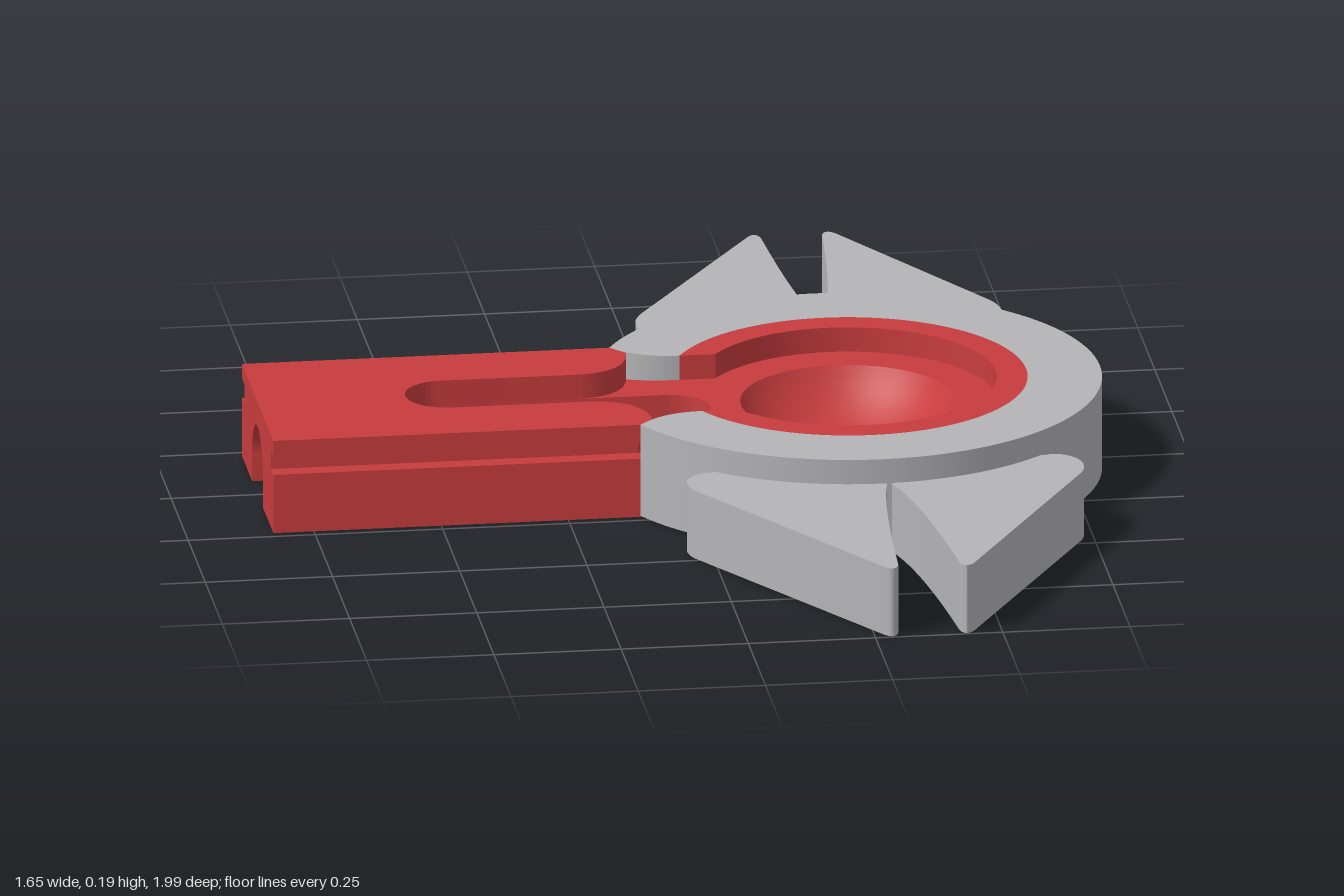
import * as THREE from 'three';
import { toCreasedNormals } from 'three/addons/utils/BufferGeometryUtils.js';

const CX = 0.33;          // hub centre on x
const HUB = 0.35, RING = 0.495, RECESS = 0.29, BOWL = 0.21, HOLE = 0.06;
const SLOT = 0.08;        // half width of slot and channel
const NECK = 0.165;       // half width of neck
const ARM_END = -0.83, ARM_JOIN = -0.108;
const FLOOR = 0.14, TOP = 0.19;

const hubAngle = Math.PI - Math.asin(NECK / HUB);
const recessAngle = Math.PI - Math.asin(NECK / RECESS);
const ringAngle = Math.PI - Math.asin(0.23 / RING);

// Upright prism from a plan outline drawn as (x, -z)
function prism(shape, y0, y1) {
  const geo = new THREE.ExtrudeGeometry(shape, { depth: y1 - y0, bevelEnabled: false, curveSegments: 48 });
  geo.rotateX(-Math.PI / 2).translate(0, y0, 0);
  return toCreasedNormals(geo, 0.5);
}

// Lower body: arm, neck and hub, open along the channel
function lowerOutline(w) {
  const s = new THREE.Shape();
  s.moveTo(ARM_END, -w);
  s.lineTo(ARM_JOIN, -w);
  s.quadraticCurveTo(-0.06, -NECK, 0.02, -NECK);
  s.absarc(CX, 0, HUB, -hubAngle, hubAngle, false);
  s.quadraticCurveTo(-0.06, NECK, ARM_JOIN, w);
  s.lineTo(ARM_END, w);
  s.lineTo(ARM_END, SLOT);
  s.lineTo(-0.02, SLOT);
  s.absarc(-0.02, 0, SLOT, Math.PI / 2, -Math.PI / 2, true);
  s.lineTo(ARM_END, -SLOT);
  s.holes.push(new THREE.Path().absarc(CX, 0, BOWL, 0, Math.PI * 2, true));
  return s;
}

// Raised arm top: two rounded prongs either side of the slot
function upperOutline(w) {
  const s = new THREE.Shape();
  s.moveTo(ARM_END, -w);
  s.lineTo(ARM_JOIN, -w);
  s.lineTo(-0.08, -0.195);
  s.quadraticCurveTo(-0.09, -SLOT, -0.2, -SLOT);
  s.lineTo(-0.46, -SLOT);
  s.absarc(-0.46, 0, SLOT, -Math.PI / 2, -Math.PI * 1.5, true);
  s.lineTo(-0.2, SLOT);
  s.quadraticCurveTo(-0.09, SLOT, -0.08, 0.195);
  s.lineTo(ARM_JOIN, w);
  s.lineTo(ARM_END, w);
  return s;
}

// Rim around the recess, open towards the arm
function rimOutline() {
  const s = new THREE.Shape();
  s.absarc(CX, 0, HUB, -hubAngle, hubAngle, false);
  s.absarc(CX, 0, RECESS, recessAngle, -recessAngle, true);
  return s;
}

// Outer ring with curved ends that meet the arm
function ringOutline() {
  const s = new THREE.Shape();
  s.absarc(CX, 0, RING, -ringAngle, ringAngle, false);
  s.quadraticCurveTo(-0.06, NECK, 0.02, NECK);
  s.absarc(CX, 0, HUB, hubAngle, -hubAngle, true);
  s.quadraticCurveTo(-0.06, -NECK, ARM_JOIN, -0.23);
  return s;
}

// One pointed blade; dir is +1 towards the back and -1 towards the front
function bladeOutline(b, dir) {
  const s = new THREE.Shape();
  const p = (x, y) => [x, y * dir];
  s.moveTo(...p(b.gap, 0.44));
  s.lineTo(...p(b.gap, 0.5));
  s.quadraticCurveTo(...p(b.gap + 0.6 * (b.inner - b.gap), 0.62), ...p(b.inner, 0.975));
  s.quadraticCurveTo(...p(b.tip, 1.01), ...p(b.outerTip, 0.985));
  s.lineTo(...p(...b.shoulder));
  s.bezierCurveTo(...p(...b.bulge1), ...p(...b.bulge2), ...p(...b.root));
  s.lineTo(...p(CX + (b.root[0] - CX) * 0.85, 0.32));
  return s;
}

export function createModel() {
  const red = new THREE.MeshStandardMaterial({ name: 'red', color: 0xc83c3e });
  const grey = new THREE.MeshStandardMaterial({ name: 'grey', color: 0xb4b3b6 });
  const model = new THREE.Group();
  model.name = 'bladedRingHandle';
  const add = (name, geo, mat) => {
    const mesh = new THREE.Mesh(geo, mat);
    mesh.name = name;
    model.add(mesh);
    return mesh;
  };

  // Handle in layers; the narrow layers form the side grooves
  add('handleBase', prism(lowerOutline(0.23), 0, 0.12), red);
  add('grooveLower', prism(lowerOutline(0.195), 0.12, FLOOR), red);
  add('grooveUpper', prism(upperOutline(0.195), FLOOR, 0.16), red);
  add('handleTop', prism(upperOutline(0.23), 0.16, TOP), red);

  // Arched roof of the channel beyond the slot
  const arch = new THREE.Shape();
  arch.moveTo(-SLOT, 0.06);
  arch.absarc(0, 0.06, SLOT, Math.PI, 0, true);
  arch.lineTo(SLOT, FLOOR);
  arch.lineTo(-SLOT, FLOOR);
  const archGeo = new THREE.ExtrudeGeometry(arch, { depth: 0.29, bevelEnabled: false, curveSegments: 24 });
  archGeo.rotateY(Math.PI / 2).translate(ARM_END, 0, 0);
  add('channelArch', toCreasedNormals(archGeo, 0.5), red);

  // Bowl with a drain hole
  const profile = [[HOLE, 0], [BOWL, 0], [BOWL, FLOOR]].map(([r, y]) => new THREE.Vector2(r, y));
  const R = 0.24, cy = FLOOR + Math.sqrt(R * R - BOWL * BOWL);
  const a0 = Math.asin(BOWL / R), a1 = Math.asin(HOLE / R);
  for (let i = 1; i <= 16; i++) {
    const a = a0 + (a1 - a0) * i / 16;
    profile.push(new THREE.Vector2(R * Math.sin(a), cy - R * Math.cos(a)));
  }
  profile.push(new THREE.Vector2(HOLE, 0));
  const bowl = toCreasedNormals(new THREE.LatheGeometry(profile, 64), 0.5);
  add('bowl', bowl, red).position.x = CX;

  add('hubRim', prism(rimOutline(), FLOOR, TOP), red);
  add('outerRing', prism(ringOutline(), 0.002, TOP), grey);

  // Four blades
  const blades = [
    ['backRightBlade', 1, { gap: 0.335, inner: 0.29, tip: 0.283, outerTip: 0.265, shoulder: [0.0, 0.565],
      bulge1: [-0.035, 0.505], bulge2: [-0.025, 0.45], root: [0.04, 0.395] }],
    ['backLeftBlade', 1, { gap: 0.345, inner: 0.41, tip: 0.417, outerTip: 0.437, shoulder: [0.685, 0.55],
      bulge1: [0.715, 0.48], bulge2: [0.69, 0.42], root: [0.64, 0.385] }],
    ['frontRightBlade', -1, { gap: 0.34, inner: 0.298, tip: 0.29, outerTip: 0.27, shoulder: [-0.035, 0.49],
      bulge1: [-0.065, 0.43], bulge2: [-0.03, 0.38], root: [0.025, 0.385] }],
    ['frontLeftBlade', -1, { gap: 0.35, inner: 0.418, tip: 0.425, outerTip: 0.445, shoulder: [0.725, 0.48],
      bulge1: [0.755, 0.41], bulge2: [0.71, 0.35], root: [0.665, 0.37] }],
  ];
  for (const [name, dir, b] of blades) add(name, prism(bladeOutline(b, dir), 0, FLOOR), grey);

  return model;
}
